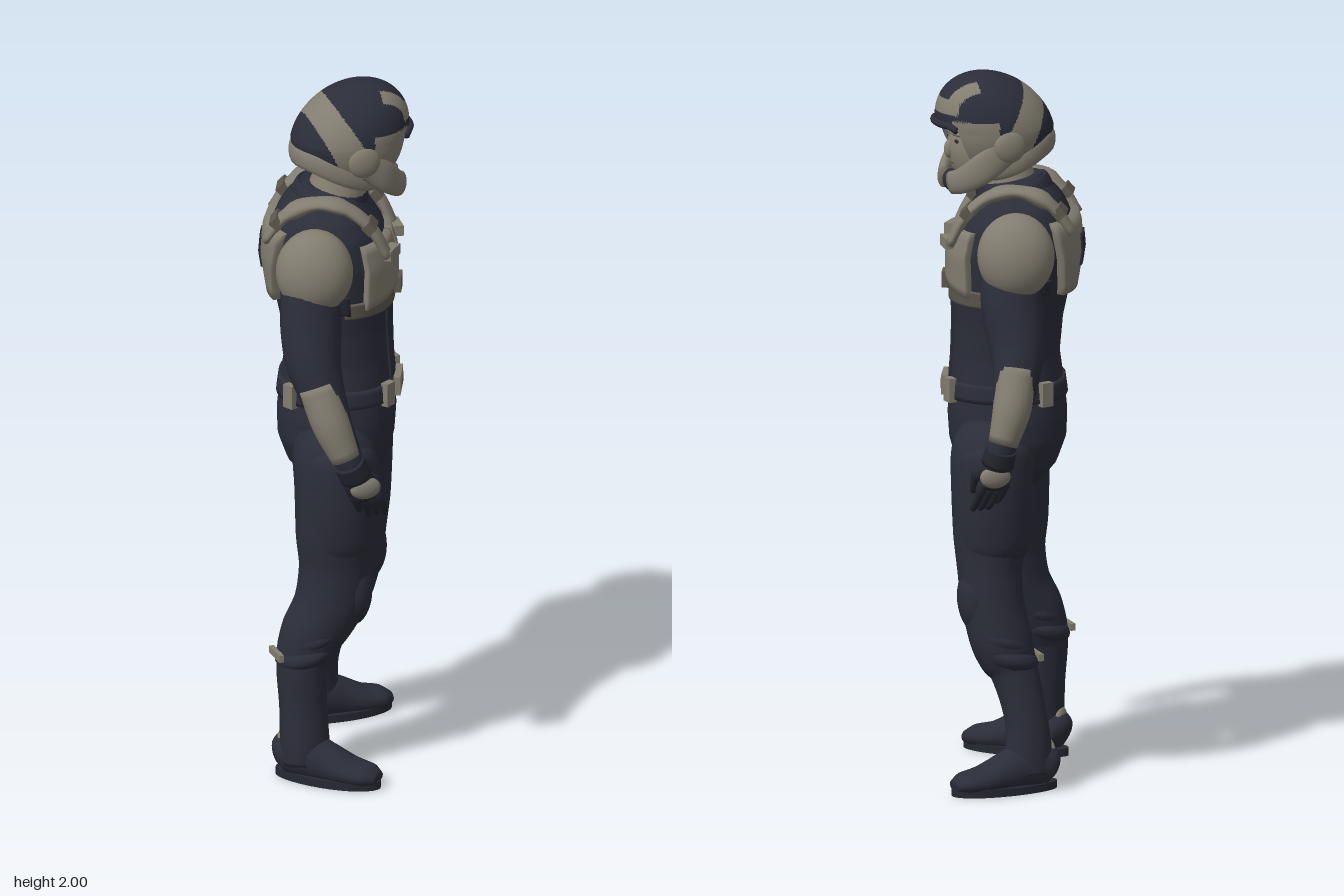
import * as THREE from 'three';

const V = (x, y, z) => new THREE.Vector3(x, y, z);
const mat = (name, color, side = THREE.FrontSide) => {
  const m = new THREE.MeshStandardMaterial({ color, side });
  m.name = name;
  return m;
};

// Surface from fn(s, t), with s and t in 0..1; rule(point) picks a material index
function grid(fn, nu, nv, wrap = false, rule = null) {
  const pos = [], idx = [[], []], cols = wrap ? nu : nu + 1, pts = [];
  for (let i = 0; i <= nv; i++) for (let j = 0; j < cols; j++) {
    const p = fn(j / nu, i / nv);
    pts.push(p);
    pos.push(p.x, Math.max(p.y, 0), p.z);
  }
  for (let i = 0; i < nv; i++) for (let j = 0; j < nu; j++) {
    const k = (j + 1) % cols, a = i * cols + j, b = i * cols + k, c = b + cols, d = a + cols;
    const mid = pts[a].clone().add(pts[c]).multiplyScalar(0.5);
    idx[rule && rule(mid) ? 1 : 0].push(a, b, c, a, c, d);
  }
  const g = new THREE.BufferGeometry();
  g.setAttribute('position', new THREE.Float32BufferAttribute(pos, 3));
  g.setIndex([...idx[0], ...idx[1]]);
  if (rule) {
    g.addGroup(0, idx[0].length, 0);
    g.addGroup(idx[0].length, idx[1].length, 1);
  }
  g.computeVertexNormals();
  return g;
}

// Elliptical sweep through [x, y, z, radiusAlongRef, otherRadius] with closed ends
function sweep(list, ref = V(1, 0, 0), n = 20, per = 5) {
  const path = new THREE.CatmullRomCurve3(list.map(p => V(p[0], p[1], p[2])));
  const rad = new THREE.CatmullRomCurve3(list.map(p => V(p[3], p[4] ?? p[3], 0)));
  const rows = (list.length - 1) * per;
  return grid((s, t) => {
    const k = Math.min(Math.max((t * (rows + 2) - 1) / rows, 0), 1);
    const c = path.getPoint(k), r = rad.getPoint(k), T = path.getTangent(k);
    if (t === 0 || t === 1) return c;
    const S = ref.clone().addScaledVector(T, -ref.dot(T)).normalize(), O = T.clone().cross(S);
    const a = s * Math.PI * 2;
    return c.addScaledVector(S, Math.cos(a) * r.x).addScaledVector(O, Math.sin(a) * r.y);
  }, n, rows + 2, true);
}

// Raised plate on a surface(u, v, offset), between four corners [u, v]
function plate(surface, [a, b, c, d], off, nu = 20, nv = 10) {
  const mix = THREE.MathUtils.lerp;
  return grid((s, t) => {
    const edge = s === 0 || s === 1 || t === 0 || t === 1;
    const S = Math.min(Math.max((s * nu - 1) / (nu - 2), 0), 1);
    const T = Math.min(Math.max((t * nv - 1) / (nv - 2), 0), 1);
    const at = k => mix(mix(a[k], b[k], S), mix(d[k], c[k], S), T);
    return surface(at(0), at(1), edge ? -0.012 : off);
  }, nu, nv);
}
const flip = ([a, b, c, d]) => [b, a, d, c].map(([u, v]) => [-u, v]);

// Torso sections: y, z centre, half width, half depth
const TORSO = [
  [0.80, 0.00, 0.03, 0.04], [0.83, 0.00, 0.10, 0.09], [0.89, 0.00, 0.155, 0.14], [0.96, -0.003, 0.18, 0.162],
  [1.03, -0.002, 0.182, 0.166], [1.10, 0.00, 0.176, 0.161], [1.20, 0.003, 0.168, 0.15], [1.30, -0.003, 0.176, 0.153],
  [1.40, -0.012, 0.194, 0.165], [1.50, -0.02, 0.205, 0.172], [1.58, -0.03, 0.205, 0.155],
  [1.63, -0.035, 0.178, 0.128], [1.66, -0.035, 0.13, 0.11], [1.68, -0.025, 0.10, 0.10]];
function torsoAt(u, y, off = 0) {
  let i = 0;
  while (i < TORSO.length - 2 && y > TORSO[i + 1][0]) i++;
  const A = TORSO[i], B = TORSO[i + 1], k = (y - A[0]) / (B[0] - A[0]);
  const [, cz, w, d] = A.map((q, n) => q + (B[n] - q) * k);
  const pw = q => Math.sign(q) * Math.abs(q) ** 0.88;
  return V(pw(Math.sin(u)) * (w + off), y, cz + pw(Math.cos(u)) * (d + off));
}

// Helmet shell by azimuth u (0 is the face) and elevation v
function helmetAt(u, v, off = 0) {
  const y = Math.sin(v) * (0.155 + off), c = Math.cos(v);
  return V(Math.sin(u) * c * (0.145 + off), 1.845 + y, Math.cos(u) * c * (0.165 + off) + Math.max(y, 0) * 0.25);
}
function helmetRim(u) {
  const a = Math.abs(Math.atan2(Math.sin(u), Math.cos(u))), ss = THREE.MathUtils.smoothstep;
  return 0.12 - 0.87 * ss(a, 0.55, 0.95) + 0.48 * ss(a, 1.2, 2.7);
}

export function createModel() {
  const suit = mat('navy suit', 0x2b2d39), dark = mat('dark webbing', 0x262832);
  const armour = mat('grey armour', 0x827d70), trim = mat('brown grey trim', 0x5d584e);
  const skin = mat('face skin', 0x878172);
  const suitShell = mat('navy shell', 0x2b2d39, THREE.DoubleSide), greyShell = mat('grey shell', 0x827d70, THREE.DoubleSide);
  const model = new THREE.Group();
  const add = (parent, name, geo, m) => {
    const mesh = new THREE.Mesh(geo, m);
    mesh.name = name;
    parent.add(mesh);
    return mesh;
  };
  const group = (name, yaw, x = 0, z = 0) => {
    const g = new THREE.Group();
    g.name = name;
    g.rotation.y = yaw;
    g.position.set(x, 0, z);
    model.add(g);
    return g;
  };
  const ball = (parent, name, m, p, s) => {
    const b = add(parent, name, new THREE.SphereGeometry(1, 28, 18), m);
    b.position.set(...p);
    b.scale.set(...s);
    return b;
  };
  const box = (parent, name, m, p, s, yaw = 0, tilt = 0) => {
    const b = add(parent, name, new THREE.BoxGeometry(...s), m);
    b.position.set(...p);
    b.rotation.set(tilt, yaw, 0, 'YXZ');
    return b;
  };

  // Torso, turned between the front and the side
  const body = group('upperBody', 1.147);
  add(body, 'torso', grid((s, t) => torsoAt(s * Math.PI * 2, 0.8 + t * 0.88), 48, 60, true), suit);
  add(body, 'collar', sweep([[0, 1.61, -0.03, 0.125, 0.115], [0, 1.655, -0.02, 0.115, 0.11], [0, 1.685, -0.01, 0.1, 0.1], [0, 1.697, -0.008, 0.088, 0.09]], V(1, 0, 0), 32), suit);
  add(body, 'abdomenPanel', plate(torsoAt, [[-0.3, 1.12], [0.3, 1.12], [0.42, 1.4], [-0.42, 1.4]], 0.004), suit);
  add(body, 'chestBand', plate(torsoAt, [[-1.35, 1.36], [1.35, 1.36], [1.35, 1.405], [-1.35, 1.405]], 0.009, 40), trim);
  const chest = [[0.015, 1.42], [1.0, 1.385], [0.9, 1.57], [0.015, 1.565]];
  const flank = [[1.25, 1.37], [2.3, 1.40], [2.3, 1.44], [1.25, 1.43]];
  for (const s of [1, -1]) {
    const side = c => (s > 0 ? c : flip(c));
    add(body, 'chestPlate', plate(torsoAt, side(chest), 0.018), armour);
    add(body, 'sideStrap', plate(torsoAt, side(flank), 0.01), dark);
    add(body, 'shoulderStrap', sweep([[s * 0.115, 1.53, 0.148, 0.03, 0.014], [s * 0.125, 1.61, 0.105, 0.032, 0.016],
      [s * 0.132, 1.67, 0.035, 0.034, 0.017], [s * 0.134, 1.685, -0.045, 0.034, 0.017],
      [s * 0.132, 1.65, -0.13, 0.034, 0.017], [s * 0.115, 1.57, -0.19, 0.032, 0.014]]), armour);
    box(body, 'strapClip', trim, [s * 0.125, 1.62, 0.1], [0.07, 0.03, 0.03], 0, -0.75);
    box(body, 'rearStrapClip', trim, [s * 0.127, 1.63, -0.158], [0.07, 0.03, 0.03], 0, 0.75);
    box(body, 'chestPouch', armour, [s * 0.095, 1.53, 0.156], [0.07, 0.03, 0.03], s * 0.3);
    const pad = ball(body, 'shoulderPad', armour, [s * 0.256, 1.53, -0.045], [0.084, 0.12, 0.108]);
    pad.rotation.z = s * 0.16;
    for (const u of [0.55, 2.3]) {
      const p = torsoAt(s * u, 1.11, 0.012);
      box(body, 'beltPouch', armour, [p.x, p.y, p.z], [0.036, 0.068, 0.022], s * u);
    }
  }
  add(body, 'backPlate', plate(torsoAt, [[Math.PI - 0.6, 1.39], [Math.PI + 0.6, 1.39], [Math.PI + 0.88, 1.6], [Math.PI - 0.88, 1.6]], 0.022), armour);
  add(body, 'backWindow', plate(torsoAt, [[Math.PI - 0.15, 1.455], [Math.PI + 0.15, 1.455], [Math.PI + 0.15, 1.545], [Math.PI - 0.15, 1.545]], 0.027), dark);
  add(body, 'belt', plate(torsoAt, [[-Math.PI, 1.085], [Math.PI, 1.085], [Math.PI, 1.135], [-Math.PI, 1.135]], 0.007, 64, 6), suit);
  box(body, 'buckle', armour, [0, 1.11, 0.17], [0.105, 0.055, 0.02]);
  box(body, 'buckleInset', trim, [0, 1.11, 0.1805], [0.07, 0.026, 0.004]);
  box(body, 'chestBuckle', trim, [0, 1.405, 0.165], [0.06, 0.045, 0.03]);

  // Neck and head, turned to the side
  add(model, 'neck', sweep([[-0.01, 1.62, 0.005, 0.085], [0, 1.70, 0.01, 0.081], [0.01, 1.8, 0.015, 0.081]]), skin);
  const head = group('head', Math.PI / 2 - 0.04, 0.03, 0.015);
  ball(head, 'helmetLining', dark, [0, 1.848, -0.012], [0.122, 0.1, 0.125]);
  ball(head, 'face', skin, [0, 1.79, 0.045], [0.083, 0.118, 0.09]);
  ball(head, 'nose', skin, [0, 1.785, 0.132], [0.013, 0.026, 0.016]);
  ball(head, 'brow', skin, [0, 1.832, 0.112], [0.055, 0.012, 0.02]);
  ball(head, 'mouth', trim, [0, 1.748, 0.123], [0.024, 0.005, 0.006]);
  const isGrey = p => {
    const x = Math.abs(p.x), band = p.z + 0.13 - (2 - p.y) * 0.55, inner = 0.045 + 0.2 * (0.13 - p.z);
    return Math.abs(band) < 0.04 + (2 - p.y) * 0.06
      || (p.z > 0.13 && p.y > 1.895 && p.y < 1.935 && x < 0.085)
      || (p.z > 0.07 && p.y > 1.895 && x > inner && x < inner + 0.035)
      || (x > 0.07 && p.y < 1.88 && p.z > 0.03);
  };
  add(head, 'helmet', grid((s, t) => {
    const u = s * Math.PI * 2, r = helmetRim(u);
    return helmetAt(u, r + (Math.PI / 2 - r) * t);
  }, 180, 110, true, isGrey), [suitShell, greyShell]);
  const arc = (from, to, n, f) => Array.from({ length: n + 1 }, (_, i) => f(from + (to - from) * i / n));
  const rimPoint = (r, w) => u => [...helmetAt(u, helmetRim(u), 0.001).toArray(), w, r];
  add(head, 'rearRim', sweep(arc(1.0, Math.PI * 2 - 1.0, 14, rimPoint(0.011, 0.03)), V(0, 1, 0), 12, 4), armour);
  add(head, 'brim', sweep(arc(-0.62, 0.62, 8, rimPoint(0.012, 0.01)), V(0, 1, 0), 12, 4), suit);
  const jaw = [[0.132, 1.80, 0.01, 0.042, 0.016], [0.118, 1.75, 0.07, 0.042, 0.018], [0.078, 1.71, 0.118, 0.036, 0.018], [0.035, 1.695, 0.14, 0.032, 0.016]];
  for (const s of [1, -1]) {
    add(head, 'jawGuard', sweep(jaw.map(([x, ...r]) => [s * x, ...r]), V(0, 1, 0)), armour);
    ball(head, 'earPod', armour, [s * 0.138, 1.81, 0], [0.02, 0.046, 0.046]);
    ball(head, 'eye', dark, [s * 0.032, 1.812, 0.122], [0.014, 0.006, 0.005]);
  }
  ball(head, 'chinPiece', suit, [0, 1.695, 0.122], [0.04, 0.032, 0.028]);

  // Arms: centre line with radius, guard pushed outward over the forearm
  const arms = [
    { name: 'rightArm', out: 1, gx: -0.008, p: [[-0.13, 1.59, 0.17, 0.06], [-0.156, 1.5, 0.208, 0.076, 0.066], [-0.162, 1.38, 0.228, 0.086, 0.08], [-0.166, 1.28, 0.258, 0.078], [-0.158, 1.22, 0.284, 0.068], [-0.135, 1.12, 0.325, 0.055], [-0.1, 1.02, 0.352, 0.042], [-0.085, 0.98, 0.357, 0.04]], d: [0.065, -0.13, -0.022] },
    { name: 'leftArm', out: -1, gx: 0.005, p: [[0.055, 1.59, -0.18, 0.06], [0.074, 1.5, -0.217, 0.076, 0.066], [0.073, 1.38, -0.245, 0.086, 0.08], [0.07, 1.28, -0.278, 0.078], [0.08, 1.22, -0.305, 0.068], [0.105, 1.12, -0.335, 0.055], [0.135, 1.02, -0.341, 0.042], [0.145, 0.98, -0.338, 0.04]], d: [0.015, -0.13, 0.04] }];
  for (const { name, out, gx, p, d } of arms) {
    const arm = group(name, 0);
    add(arm, 'sleeve', sweep(p), suit);
    add(arm, 'forearmGuard', sweep([[...p[4].slice(0, 3), 0.058], ...p.slice(5, 7)].map(q => [q[0] + gx, q[1], q[2] + out * 0.013, q[3] - 0.001])), armour);
    const w = p[7], at = (k, dx, dz, a, b) => [w[0] + d[0] * k + dx, w[1] + d[1] * k, w[2] + d[2] * k + dz, a, b];
    add(arm, 'gloveCuff', sweep([at(-0.2, 0, 0, 0.044), at(0.15, 0, 0, 0.046)]), dark);
    add(arm, 'palm', sweep([at(0, 0, 0, 0.034, 0.03), at(0.3, 0, 0, 0.045, 0.03), at(0.62, 0, 0, 0.045, 0.026), at(0.72, 0, 0, 0.038, 0.018)]), dark);
    ball(arm, 'handGuard', armour, at(0.42, 0.006, out * 0.02).slice(0, 3), [0.045, 0.032, 0.019]);
    for (let i = 0; i < 4; i++) {
      const x = -0.034 + i * 0.0225, l = i === 0 ? 0.88 : 1;
      add(arm, 'finger', sweep([at(0.55, x, 0.004 * out, 0.0125), at(0.85 * l, x, 0.002 * out, 0.0125), at(1.05 * l, x, -0.008 * out, 0.0115), at(1.22 * l, x, -0.024 * out, 0.009)], V(1, 0, 0), 10, 3), dark);
    }
    add(arm, 'thumb', sweep([at(0.2, 0.03, -0.01 * out, 0.015), at(0.5, 0.045, -0.024 * out, 0.015), at(0.82, 0.04, -0.034 * out, 0.01)], V(1, 0, 0), 10, 4), dark);
  }

  // Legs: centre, x radius and z radius from hip to ankle
  const legs = [
    { name: 'rightLeg', out: 1, yaw: 0.82, foot: [-0.16, 0.165], knee: [-0.02, 0.54, 0.16], p: [[-0.045, 1.0, 0.09, 0.105, 0.098], [-0.05, 0.93, 0.115, 0.118, 0.118], [-0.05, 0.85, 0.13, 0.117, 0.123], [-0.053, 0.7, 0.133, 0.112, 0.11], [-0.057, 0.6, 0.138, 0.102, 0.094], [-0.078, 0.5, 0.143, 0.099, 0.092], [-0.125, 0.42, 0.142, 0.09, 0.087], [-0.147, 0.37, 0.142, 0.08, 0.08], [-0.157, 0.33, 0.146, 0.073, 0.072], [-0.158, 0.2, 0.156, 0.067, 0.064], [-0.157, 0.11, 0.165, 0.07, 0.063], [-0.156, 0.05, 0.168, 0.07, 0.062]] },
    { name: 'leftLeg', out: -1, yaw: 1.63, foot: [0.02, -0.235], knee: [0.135, 0.54, -0.145], p: [[0.06, 1.0, -0.08, 0.1, 0.098], [0.08, 0.93, -0.105, 0.116, 0.118], [0.09, 0.85, -0.125, 0.112, 0.121], [0.095, 0.7, -0.127, 0.102, 0.107], [0.1, 0.6, -0.137, 0.088, 0.096], [0.093, 0.5, -0.152, 0.086, 0.093], [0.078, 0.42, -0.17, 0.087, 0.087], [0.062, 0.37, -0.177, 0.08, 0.082], [0.047, 0.33, -0.19, 0.067, 0.069], [0.024, 0.2, -0.223, 0.06, 0.058], [0.02, 0.11, -0.235, 0.066, 0.058], [0.02, 0.05, -0.237, 0.068, 0.058]] }];
  for (const { name, out, yaw, foot, knee, p } of legs) {
    const leg = group(name, 0), slab = (y, a, b, dz) => [p[2][0], y, p[2][2] + out * dz, a, b];
    add(leg, 'trouserAndBootShaft', sweep(p, V(1, 0, 0), 32, 6), suit);
    add(leg, 'thighPad', sweep([slab(0.955, 0.082, 0.08, 0.02), slab(0.935, 0.102, 0.1, 0.027), slab(0.82, 0.106, 0.102, 0.028), slab(0.7, 0.1, 0.094, 0.024), slab(0.66, 0.088, 0.08, 0.02)], V(1, 0, 0), 28), suit);
    ball(leg, 'kneePad', suit, knee, [0.06, 0.105, 0.07]);
    for (const [i, r] of [[6, 0.003], [7, 0.009]]) {
      const [x, y, z, a, b] = p[i];
      add(leg, 'cuffRoll', sweep([-1, -0.5, 0, 0.5, 1].map(k => [x - k * 0.008, y + k * 0.024, z, a + r - 0.014 * k * k, b + r - 0.014 * k * k]), V(1, 0, 0), 32, 3), suit);
    }
    box(leg, 'cuffTab', armour, [p[7][0] - p[7][3] - 0.005, 0.368, p[7][2]], [0.014, 0.02, 0.085]);
    // Boot, pointing along its own z
    const boot = group(name + 'Boot', yaw, ...foot);
    add(boot, 'bootUpper', sweep([[0, 0.055, -0.076, 0.03, 0.035], [0, 0.065, -0.055, 0.054, 0.06], [0, 0.07, 0, 0.058, 0.072], [0, 0.055, 0.07, 0.056, 0.058], [0, 0.04, 0.14, 0.062, 0.038], [0, 0.034, 0.195, 0.055, 0.03], [0, 0.028, 0.226, 0.03, 0.016]]), suit);
    const outline = new THREE.Shape(arc(0, Math.PI * 2 - 0.2, 31, a => new THREE.Vector2(
      Math.sin(a) * (0.062 + 0.005 * Math.cos(a)), -0.074 - Math.cos(a) * 0.157)));
    const sole = add(boot, 'sole', new THREE.ExtrudeGeometry(outline, { depth: 0.022, bevelEnabled: false }), dark);
    sole.rotation.x = -Math.PI / 2;
    ball(boot, 'heelGuard', armour, [0, 0.105, -0.06], [0.032, 0.034, 0.016]);
  }
  return model;
}
